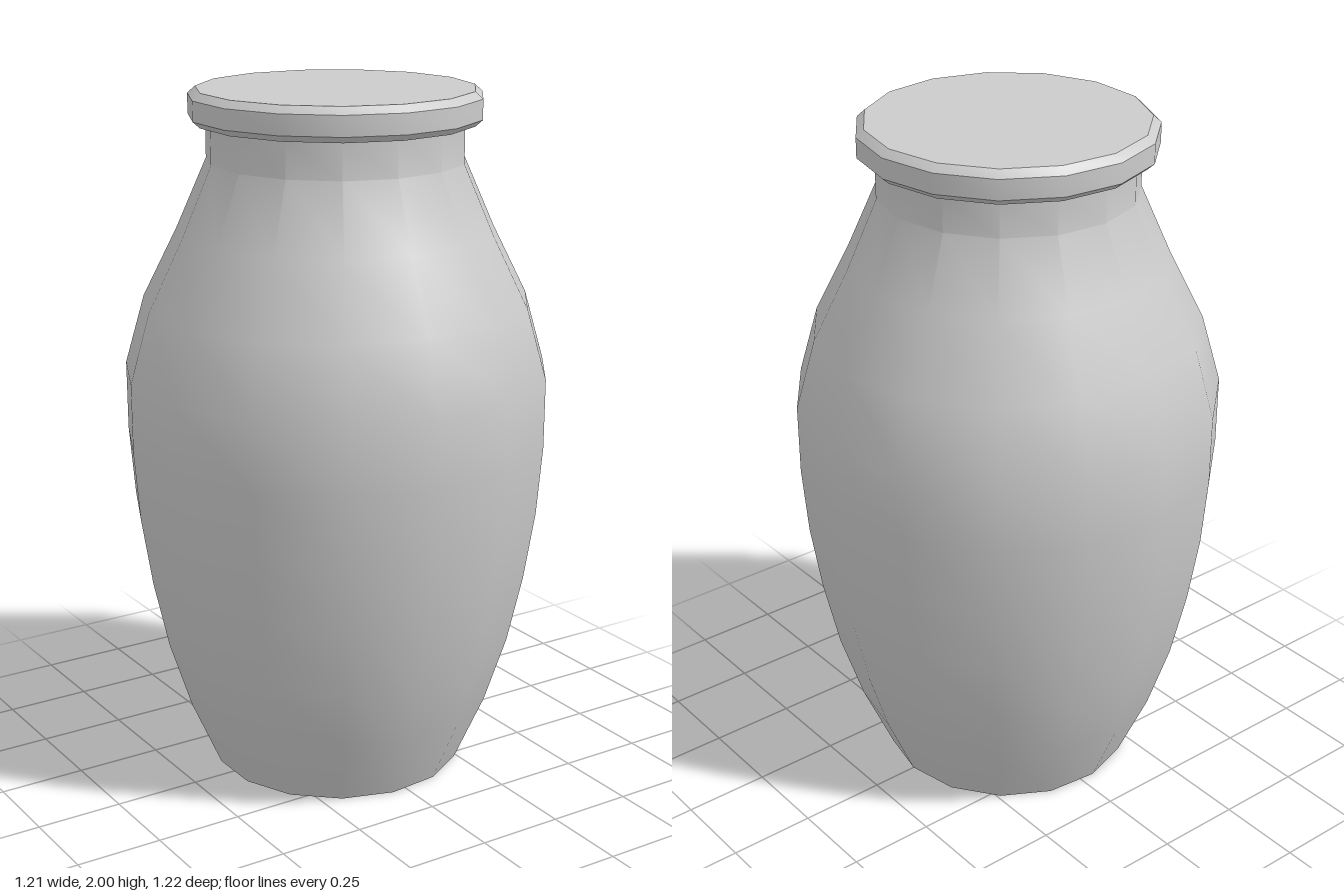
import * as THREE from 'three';
import { toCreasedNormals } from 'three/addons/utils/BufferGeometryUtils.js';

const SIDES = 15;
const CREASE = THREE.MathUtils.degToRad(30);
const OFFSET_X = -0.0067; // centres the odd-sided outline on x = 0

// Revolve a [radius, y] profile, with one corner pointing along +x
function turned(name, profile, material) {
  const points = profile.map(([r, y]) => new THREE.Vector2(r, y));
  const lathe = new THREE.LatheGeometry(points, SIDES, Math.PI / 2);
  const mesh = new THREE.Mesh(toCreasedNormals(lathe, CREASE), material);
  mesh.name = name;
  mesh.position.x = OFFSET_X;
  return mesh;
}

export function createModel() {
  const group = new THREE.Group();
  group.name = 'lidded jar';
  const grey = new THREE.MeshStandardMaterial({ color: 0xcccccc });

  // Closed base, swelling belly, shoulder and straight neck
  group.add(turned('jarBody', [
    [0, 0], [0.369, 0], [0.456, 0.2], [0.52, 0.4], [0.564, 0.6], [0.595, 0.8],
    [0.611, 1.0], [0.612, 1.2], [0.555, 1.4], [0.455, 1.6], [0.367, 1.8],
    [0.367, 1.91], [0, 1.91],
  ], grey));

  // Flat disc lid with bevelled rims
  group.add(turned('lid', [
    [0, 1.905], [0.396, 1.905], [0.416, 1.923], [0.416, 1.98], [0.394, 2], [0, 2],
  ], grey));

  return group;
}
